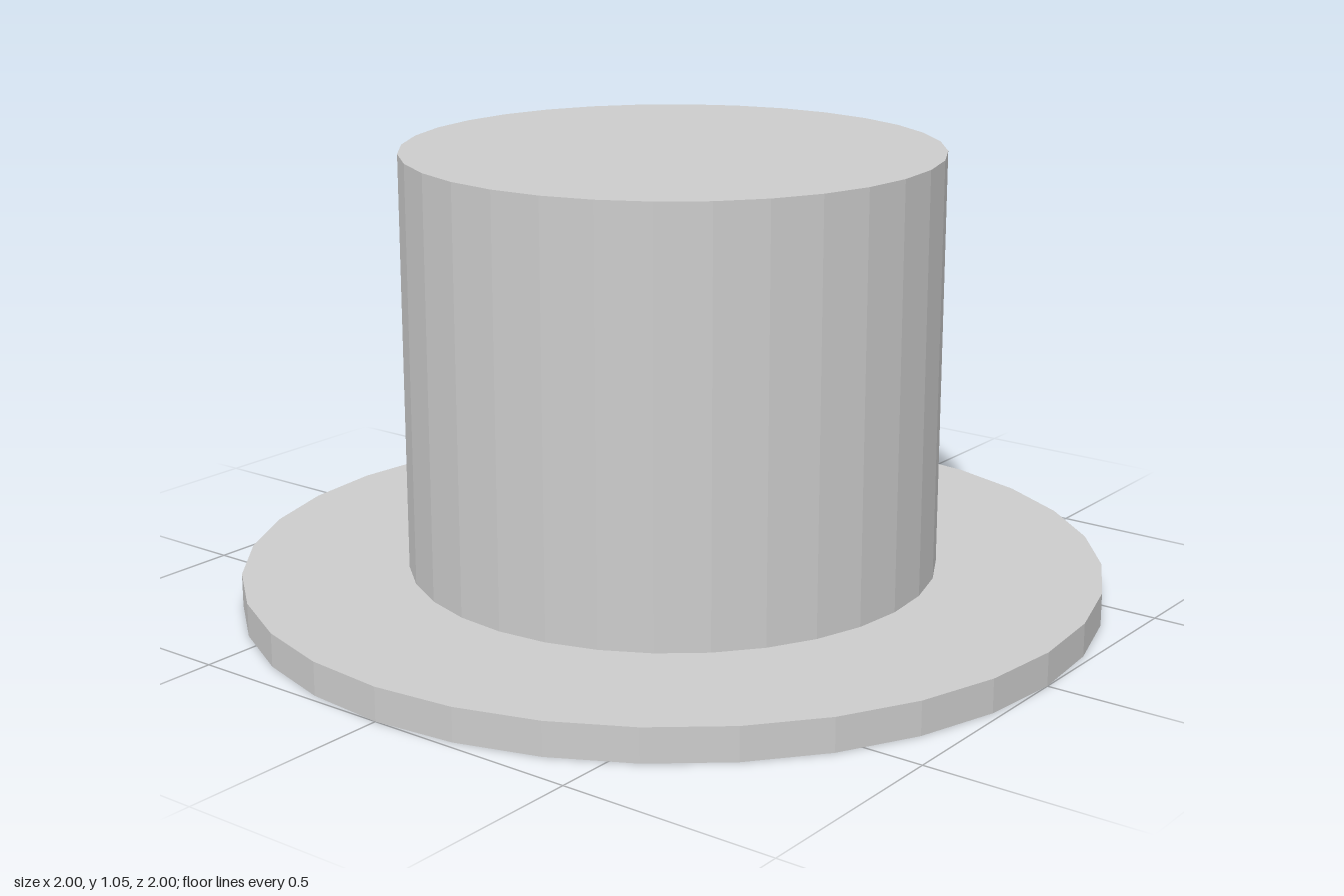
import * as THREE from 'three';

const SIDES = 32;

export function createModel() {
  const hat = new THREE.Group();
  hat.name = 'topHat';
  const material = new THREE.MeshStandardMaterial({ color: 0xcccccc, flatShading: true });

  // Upright faceted disc or drum between two heights
  function addDrum(name, radius, bottom, top) {
    const height = top - bottom;
    const mesh = new THREE.Mesh(new THREE.CylinderGeometry(radius, radius, height, SIDES), material);
    mesh.name = name;
    mesh.position.y = bottom + height / 2;
    hat.add(mesh);
  }

  addDrum('brim', 1, 0, 0.077);
  addDrum('crown', 0.616, 0.077, 1.046);

  return hat;
}
